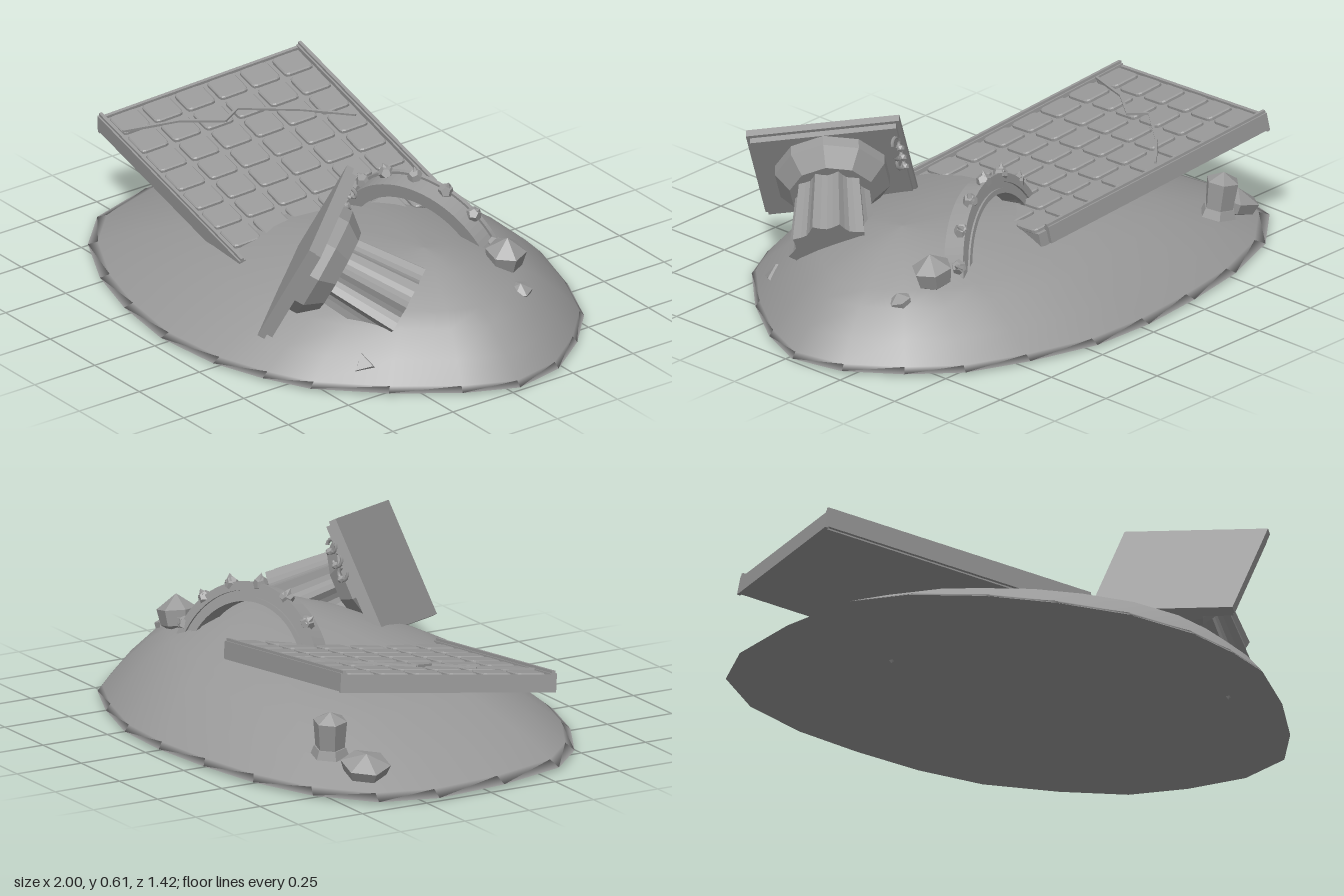
import * as THREE from 'three';

const stone = new THREE.MeshStandardMaterial({ color: 0x999999 });
stone.name = 'grey stone';

function add(parent, geometry, name, x = 0, y = 0, z = 0) {
  const mesh = new THREE.Mesh(geometry, stone);
  mesh.name = name;
  mesh.position.set(x, y, z);
  parent.add(mesh);
  return mesh;
}
const box = (parent, name, w, h, d, x, y, z) => add(parent, new THREE.BoxGeometry(w, h, d), name, x, y, z);

// Facets a geometry
function flat(geometry) {
  const g = geometry.index ? geometry.toNonIndexed() : geometry;
  g.computeVertexNormals();
  return g;
}

// Group with its own axes: x and y directions are given, z follows
function orientedGroup(parent, name, origin, xDir, yDir) {
  const x = new THREE.Vector3(...xDir).normalize();
  const z = x.clone().cross(new THREE.Vector3(...yDir)).normalize();
  const y = z.clone().cross(x);
  const g = new THREE.Group();
  g.name = name;
  g.quaternion.setFromRotationMatrix(new THREE.Matrix4().makeBasis(x, y, z));
  g.position.set(...origin);
  parent.add(g);
  return g;
}

// Oval mound: rings shrink from the rim to an off-centre top
function buildMound(root) {
  const rim = [[-1, -.2], [-.94, -.4], [-.76, -.55], [-.52, -.64], [-.27, -.685], [-.02, -.71], [.22, -.7], [.47, -.625],
    [.685, -.53], [.835, -.39], [.96, -.22], [1, -.03], [.92, .15], [.775, .35], [.59, .54], [.43, .62], [.24, .685],
    [-.02, .71], [-.28, .67], [-.51, .6], [-.74, .48], [-.89, .33], [-.97, .07]];
  const n = rim.length, top = [0.46, -0.03];
  const rings = [[1, .01], [0, .01], [.03, .03], [.14, .1], [.3, .18], [.42, .218], [.55, .252], [.7, .287], [.85, .31], [1, .32]];
  const pos = [], index = [];
  rings.forEach(([t, y], k) => rim.forEach(([x, z], i) => {
    pos.push(x + (top[0] - x) * t, y, z + (top[1] - z) * t);
    if (k === 0) return;
    const j = (i + 1) % n, a = (k - 1) * n, b = k * n;
    index.push(a + j, a + i, b + i, a + j, b + i, b + j);
  }));
  const g = new THREE.BufferGeometry();
  g.setAttribute('position', new THREE.Float32BufferAttribute(pos, 3));
  g.setIndex(index);
  g.computeVertexNormals();
  add(root, g, 'mound');
}

// Tilted tiled floor, origin at its back outer top corner
function buildFloor(root) {
  const g = orientedGroup(root, 'tiledFloor', [-.835, .445, -.485], [.983, -.145, .115], [.13, .98, .13]);
  const width = .79;
  box(g, 'floorSlab', 1.0, .05, width - .03, .5, -.04, width / 2);
  for (const z of [.012, width - .012]) {
    box(g, 'sideRail', .965, .06, .024, .4825, -.03, z);
    box(g, 'railCap', .965, .012, .012, .4825, .003, z);
  }
  box(g, 'endRail', .012, .06, width, .006, -.035, width / 2);
  const pitch = .125, s = .098, h = s / 2, r = .012;
  const tile = new THREE.Shape();
  tile.moveTo(-h + r, -h);
  [[h - r, -h, h, -h, h, -h + r], [h, h - r, h, h, h - r, h], [-h + r, h, -h, h, -h, h - r], [-h, -h + r, -h, -h, -h + r, -h]]
    .forEach(([x, y, cx, cy, ex, ey]) => { tile.lineTo(x, y); tile.quadraticCurveTo(cx, cy, ex, ey); });
  const tileGeo = new THREE.ExtrudeGeometry(tile, {
    depth: .01, bevelEnabled: true, bevelSize: .004, bevelThickness: .004, bevelSegments: 1, curveSegments: 2,
  }).rotateX(-Math.PI / 2);
  for (let c = 0; c < 8; c++) for (let k = 0; k < 6; k++) {
    if (c === 7 && k > 3) continue;
    add(g, tileGeo, 'floorTile', .075 + c * pitch, -.016, .0825 + k * pitch);
  }
  // Zigzag crack
  const crack = [[.45, .05], [.33, .19], [.21, .37], [.25, .44], [.17, .57], [.12, .76]];
  for (let i = 1; i < crack.length; i++) {
    const [x0, z0] = crack[i - 1], [x1, z1] = crack[i];
    const m = box(g, 'crack', Math.hypot(x1 - x0, z1 - z0), .009, .009, (x0 + x1) / 2, .001, (z0 + z1) / 2);
    m.rotation.y = -Math.atan2(z1 - z0, x1 - x0);
  }
}

// Fallen column: square plate, faceted drum and fluted shaft
function buildColumn(root) {
  const g = orientedGroup(root, 'fallenColumn', [.35, .39, .395], [.625, -.144, .77], [.496, .86, -.12]);
  box(g, 'plate', .52, .415, .026, 0, 0, -.013);
  box(g, 'plateBack', .495, .39, .022, 0, 0, -.036);
  const drum = (r0, r1, len, z, name) =>
    add(g, flat(new THREE.CylinderGeometry(r0, r1, len, 10).rotateX(Math.PI / 2)), name, 0, 0, z);
  drum(.195, .195, .04, -.065, 'drumBase');
  drum(.195, .145, .06, -.115, 'drumTaper');
  const shaft = new THREE.CylinderGeometry(.125, .15, .26, 40, 2);
  const p = shaft.attributes.position;
  for (let i = 0; i < p.count; i++) {
    const a = Math.atan2(p.getZ(i), p.getX(i));
    const f = 1 - .17 * Math.abs(Math.sin(a * 5));
    p.setX(i, p.getX(i) * f);
    p.setZ(i, p.getZ(i) * f);
  }
  add(g, flat(shaft.rotateX(Math.PI / 2)), 'flutedShaft', 0, 0, -.26);
  // Small curled ornaments on the plate's edge
  for (let i = 0; i < 3; i++) {
    const curl = add(g, new THREE.TorusGeometry(.022, .007, 5, 10, 4.6), 'curl', -.235, .13 - i * .05, -.06);
    curl.rotation.set(.5, 1.1, i * 1.4);
    add(g, flat(new THREE.IcosahedronGeometry(.014, 0)), 'curlBud', -.25, .115 - i * .05, -.07);
  }
}

// Half-buried leaning arch with a row of studs
function buildArch(root) {
  const g = orientedGroup(root, 'arch', [.2, .13, -.225], [.945, 0, -.32], [.05, .96, .22]);
  const arc = (r0, r1, depth, z, name) => {
    const s = new THREE.Shape();
    s.absarc(0, 0, r1, 0, Math.PI, false);
    s.absarc(0, 0, r0, Math.PI, 0, true);
    add(g, new THREE.ExtrudeGeometry(s, { depth, bevelEnabled: false, curveSegments: 20 }), name, 0, 0, z);
  };
  arc(.265, .315, .07, -.03, 'archBand');
  arc(.295, .325, .014, -.037, 'outerRib');
  arc(.258, .275, .014, -.037, 'innerRib');
  for (let i = 0; i < 7; i++) {
    const a = .42 + i * .385;
    const x = Math.cos(a) * .322, y = Math.sin(a) * .322;
    const stud = add(g, flat(new THREE.DodecahedronGeometry(.027, 0)), 'stud', x, y, -.02);
    stud.rotation.set(i, i * 2, 0);
    const cone = add(g, flat(new THREE.ConeGeometry(.02, .03, 5)), 'studTip', x * 1.07, y * 1.07, -.025);
    cone.rotation.z = a - Math.PI / 2;
  }
}

// Faceted stones lying about
function buildStones(root) {
  const gem = (name, r, h, x, y, z, rx, rz) => {
    const profile = [[0, -h], [r * .85, -h * .45], [r, h * .3], [0, h]].map(([a, b]) => new THREE.Vector2(a, b));
    const m = add(root, flat(new THREE.LatheGeometry(profile, 6)), name, x, y, z);
    m.rotation.set(rx, .4, rz);
  };
  gem('largeGemStone', .07, .072, .58, .265, -.28, .1, -.2);
  gem('smallGemStone', .04, .035, .705, .19, -.25, .3, -.3);
  gem('flatStone', .085, .05, -.8, .095, -.37, -.2, .3);

  // Short six-sided post under the floor
  const post = new THREE.Group();
  post.name = 'post';
  post.position.set(-.67, .185, -.43);
  post.rotation.set(-.1, .3, .12);
  root.add(post);
  add(post, flat(new THREE.CylinderGeometry(.058, .05, .1, 6)), 'postShaft');
  add(post, flat(new THREE.CylinderGeometry(.055, .066, .03, 6)), 'postFoot', 0, -.06, 0);
  add(post, flat(new THREE.ConeGeometry(.058, .03, 6)), 'postTip', 0, .065, 0);

  // Three-sided chip set in the slope
  const chip = add(root, flat(new THREE.CylinderGeometry(.035, .062, .05, 3)), 'chip', .66, .075, .365);
  chip.quaternion.setFromUnitVectors(new THREE.Vector3(0, 1, 0), new THREE.Vector3(.5, .6, .6).normalize());
  for (const [x, z] of [[.59, .31], [-.53, 0]])
    add(root, flat(new THREE.OctahedronGeometry(.012, 0)), 'buriedPebble', x, .012, z);
}

export function createModel() {
  const root = new THREE.Group();
  root.name = 'ruinMound';
  buildMound(root);
  buildFloor(root);
  buildColumn(root);
  buildArch(root);
  buildStones(root);
  return root;
}
